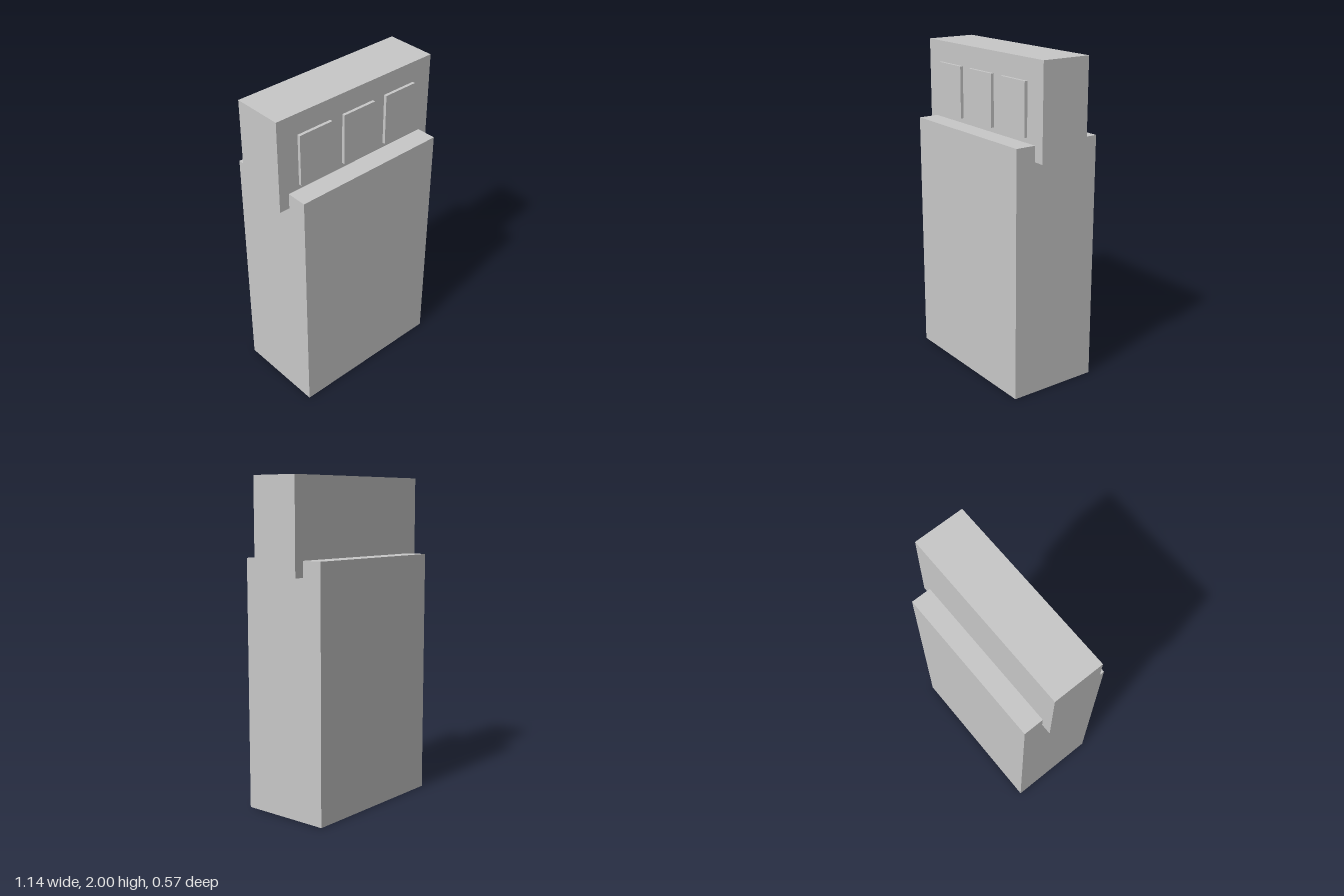
import * as THREE from 'three';

export function createModel() {
  const model = new THREE.Group();
  const grey = new THREE.MeshStandardMaterial({ color: 0xc8c8c8 });
  grey.name = 'light grey';

  // Box spanning the given height and depth range, centred on x
  function box(name, x, width, y0, y1, z0, z1) {
    const mesh = new THREE.Mesh(new THREE.BoxGeometry(width, y1 - y0, z1 - z0), grey);
    mesh.position.set(x, (y0 + y1) / 2, (z0 + z1) / 2);
    mesh.name = name;
    model.add(mesh);
  }

  // Tall body and the wider, thinner head slotted across its top
  box('body', 0, 1.014, 0, 1.525, -0.286, 0.286);
  box('head', 0, 1.144, 1.43, 2, -0.158, 0.158);

  // Three raised panels on the front of the head
  ['rightPanel', 'middlePanel', 'leftPanel'].forEach((name, i) => {
    box(name, (i - 1) * 0.318, 0.23, 1.556, 1.872, 0.14, 0.177);
  });

  return model;
}
